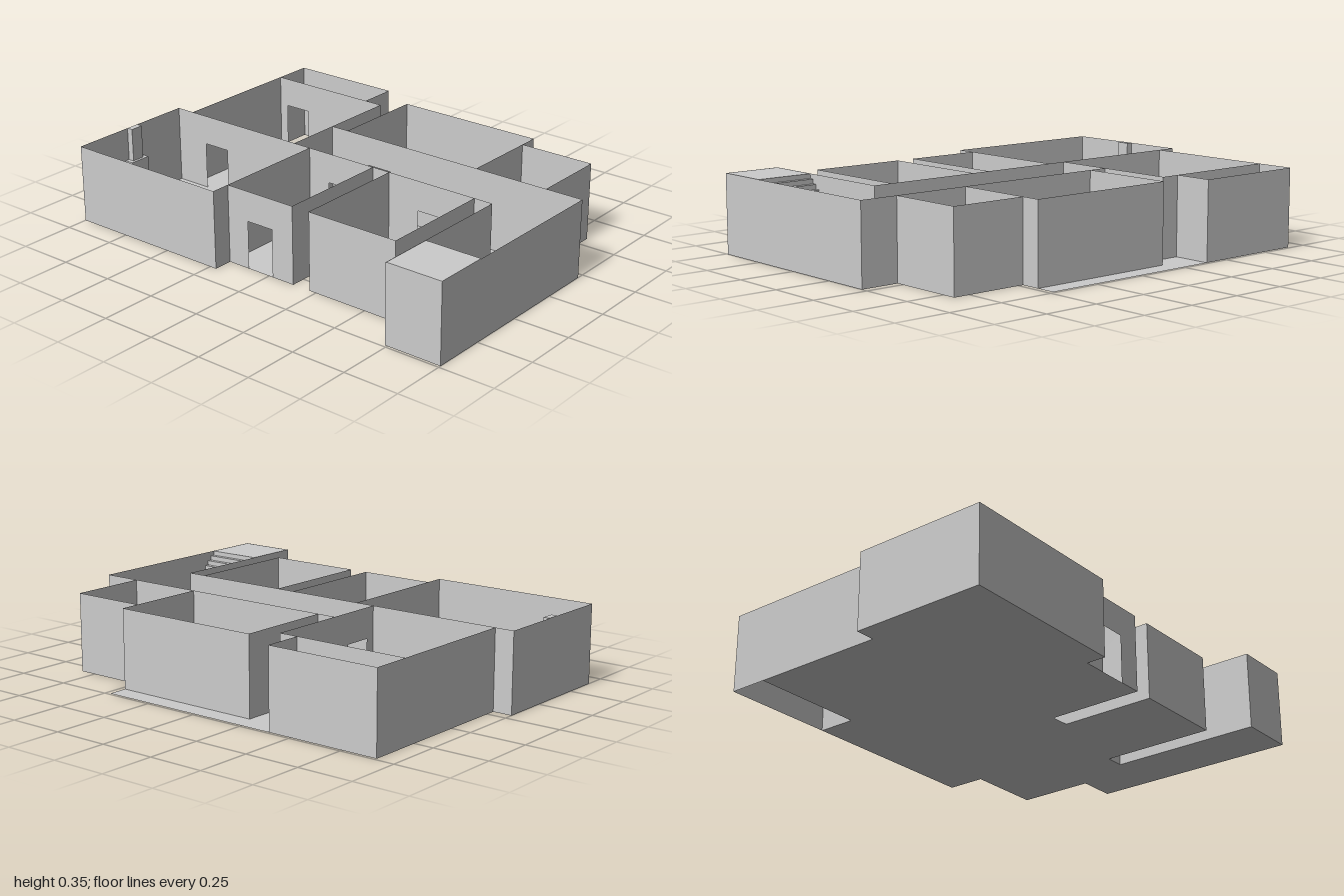
import * as THREE from 'three';

// The plan lies on a square grid, 23 cells wide and 17 deep
const U = 2 / 23;
const HEIGHT = 0.35;
const DOOR_HEIGHT = 0.215;
const X = (i) => -1 + U * i;
const Z = (j) => U * (j - 8.5);

const material = new THREE.MeshStandardMaterial({
  color: 0xcccccc, flatShading: true, side: THREE.DoubleSide,
});

function addMesh(group, name, geometry) {
  const mesh = new THREE.Mesh(geometry, material);
  mesh.name = name;
  group.add(mesh);
  return mesh;
}

const shapeFrom = (points) => new THREE.Shape(points.map(([a, b]) => new THREE.Vector2(a, b)));

// Thin wall outline from a to b, with an optional doorway [from, to] cut up from the floor
function wallGeometry(a, b, door) {
  const points = [[a, 0]];
  if (door) {
    points.push([door[0], 0], [door[0], DOOR_HEIGHT], [door[1], DOOR_HEIGHT], [door[1], 0]);
  }
  points.push([b, 0], [b, HEIGHT], [a, HEIGHT]);
  return new THREE.ShapeGeometry(shapeFrom(points));
}

export function createModel() {
  const model = new THREE.Group();
  model.name = 'housePlan';

  // Floor
  const outline = [
    [7, 0], [17, 0], [17, 2], [21, 2], [21, 6], [23, 6], [23, 17], [20, 17],
    [20, 9], [19, 9], [19, 15], [14, 15], [14, 10], [13, 10], [13, 15], [9, 15],
    [9, 16], [0, 16], [0, 9], [1, 9], [1, 2], [7, 2],
  ];
  const floor = new THREE.ShapeGeometry(shapeFrom(outline.map(([i, j]) => [X(i), Z(j)])));
  addMesh(model, 'floor', floor.rotateX(Math.PI / 2));

  // Walls running left to right: name, row, from, to, doorway in x
  const crossWalls = [
    ['backRoomRearWall', 0, 1, 7],
    ['bedroomRearWall', 2, 1, 8, [-0.87, -0.74]],
    ['kitchenRearWall', 1, 9, 17],
    ['storeRearWall', 2, 17, 21],
    ['hallRearWall', 6, 8, 23, [-0.1, 0.025]],
    ['livingRoomRearWall', 9, 0, 9, [-0.835, -0.705]],
    ['entryRearWall', 9, 9, 13, [-0.11, 0.02]],
    ['studyRearWall', 9, 13, 20, [0.37, 0.5]],
    ['livingRoomFrontWall', 16, 0, 9],
    ['entryFrontWall', 15, 9, 13, [-0.11, 0.02]],
    ['studyFrontWall', 15, 14, 19],
    ['stairFrontWall', 17, 20, 23],
  ];
  for (const [name, j, a, b, door] of crossWalls) {
    addMesh(model, name, wallGeometry(X(a), X(b), door)).position.z = Z(j);
  }

  // Walls running back to front: name, column, from, to, doorway in z
  const sideWalls = [
    ['backRoomRightWall', 1, 0, 2],
    ['backRoomLeftWall', 7, 0, 2],
    ['bedroomRightWall', 1, 2, 9],
    ['bedroomLeftWall', 8, 2, 9, [-0.13, 0]],
    ['kitchenRightWall', 9, 1, 6],
    ['kitchenLeftWall', 17, 1, 6],
    ['storeLeftWall', 21, 2, 6],
    ['livingRoomRightWall', 0, 9, 16],
    ['livingRoomLeftWall', 9, 9, 16],
    ['entryLeftWall', 13, 9, 15],
    ['studyRightWall', 14, 9, 15],
    ['studyLeftWall', 19, 9, 15],
    ['stairRightWall', 20, 9, 17],
    ['stairLeftWall', 23, 6, 17],
  ];
  for (const [name, i, a, b, door] of sideWalls) {
    const geometry = wallGeometry(Z(a), Z(b), door).rotateY(-Math.PI / 2);
    addMesh(model, name, geometry).position.x = X(i);
  }

  // Staircase climbing forward to a landing level with the wall tops
  const steps = 17, start = 0.155, end = 0.49, front = Z(17) - 0.002;
  const profile = [[start, 0.001]];
  for (let s = 0; s < steps; s++) {
    const y = (HEIGHT * (s + 1)) / steps;
    const step = (end - start) / (steps - 1);
    profile.push([start + step * s, y]);
    profile.push([s === steps - 1 ? front : start + step * (s + 1), y]);
  }
  profile.push([front, 0.001]);
  const stairs = new THREE.ExtrudeGeometry(shapeFrom(profile), {
    depth: 3 * U - 0.004, bevelEnabled: false,
  });
  addMesh(model, 'staircase', stairs.rotateY(-Math.PI / 2)).position.x = X(23) - 0.002;

  // Fireplace: hearth, mantel and chimney narrowing against the wall
  const fireplace = new THREE.Group();
  fireplace.name = 'fireplace';
  for (const [name, depth, width, height] of [
    ['hearth', 0.085, 0.135, 0.12],
    ['mantel', 0.04, 0.1, 0.2],
    ['chimney', 0.028, 0.06, HEIGHT],
  ]) {
    addMesh(fireplace, name, new THREE.BoxGeometry(depth, height, width))
      .position.set(-0.999 + depth / 2, height / 2 + 0.0005, 0.342);
  }
  model.add(fireplace);

  return model;
}
